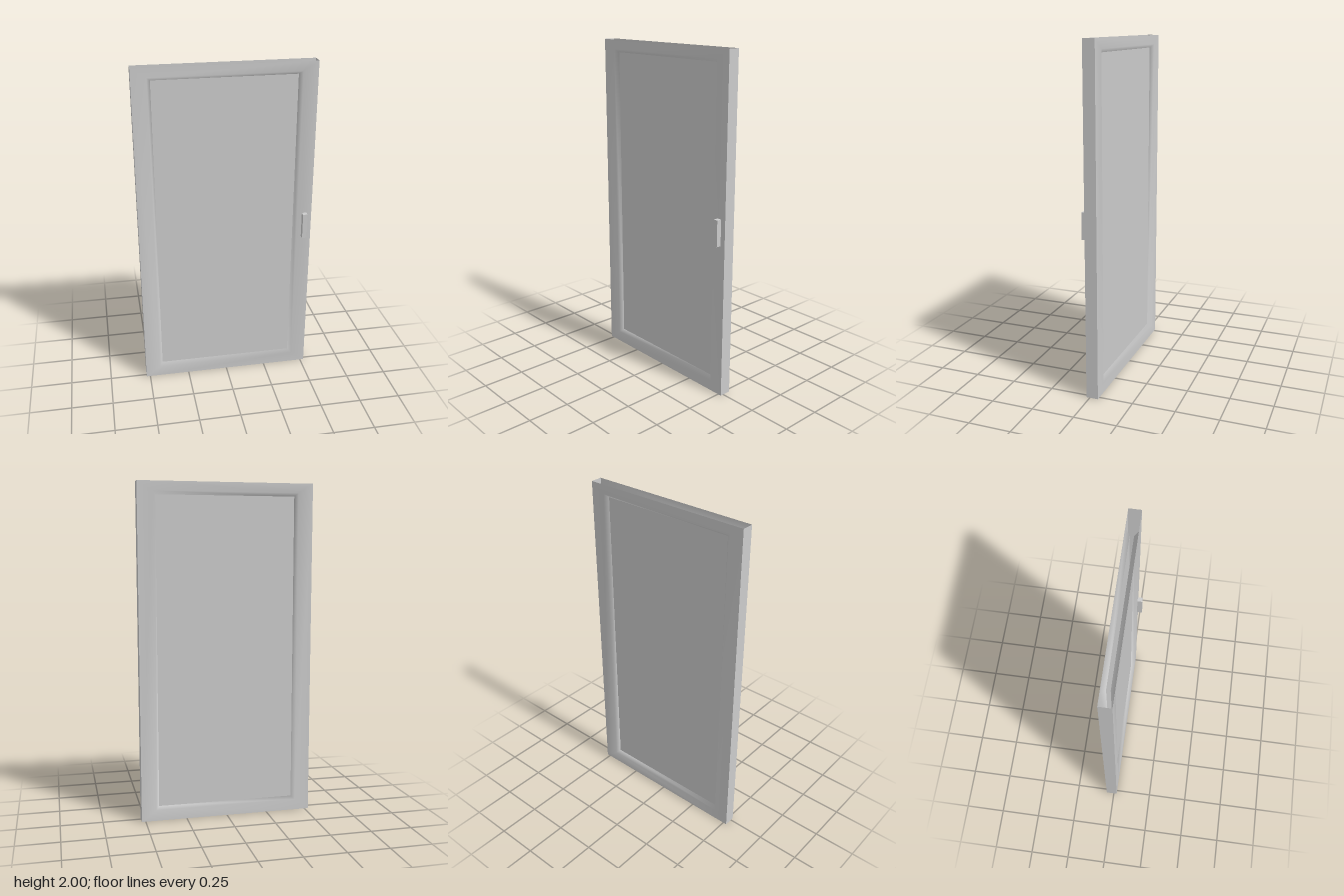
import * as THREE from 'three';

// Frame dimensions
const HALF_W = 0.523, HEIGHT = 2, FRONT = 0.02, BACK = -0.05;
const PANE_FRONT = -0.005, PANE_BACK = -0.027;

const material = new THREE.MeshStandardMaterial({ color: 0xcccccc, side: THREE.DoubleSide });

function addMesh(parent, geometry, name) {
  const mesh = new THREE.Mesh(geometry, material);
  mesh.name = name;
  parent.add(mesh);
  return mesh;
}

// Four corners, counter-clockwise seen from +z
function ring(halfW, bottom, top, z) {
  return [[-halfW, bottom, z], [halfW, bottom, z], [halfW, top, z], [-halfW, top, z]];
}

// Joins successive rings with quads, sharing vertices for soft shading
function ringStrip(rings, flip) {
  const index = [];
  for (let r = 0; r < rings.length - 1; r++) {
    for (let i = 0; i < 4; i++) {
      const a = r * 4 + i, b = r * 4 + (i + 1) % 4, c = b + 4, d = a + 4;
      if (flip) index.push(a, c, b, a, d, c);
      else index.push(a, b, c, a, c, d);
    }
  }
  const geometry = new THREE.BufferGeometry();
  geometry.setAttribute('position', new THREE.Float32BufferAttribute(rings.flat(2), 3));
  geometry.setIndex(index);
  geometry.computeVertexNormals();
  return geometry;
}

export function createModel() {
  const model = new THREE.Group();
  model.name = 'door';

  // Front and back faces of the frame, each sloping in to the pane
  for (const [side, z, paneZ] of [['front', FRONT, PANE_FRONT], ['back', BACK, PANE_BACK]]) {
    const rings = [
      ring(HALF_W, 0, HEIGHT, z),
      ring(0.435, 0.065, 1.945, z),
      ring(0.415, 0.083, 1.925, paneZ),
    ];
    addMesh(model, ringStrip(rings, side === 'back'), side + 'Frame');

    // Flat pane at the bottom of the slope
    const pane = addMesh(model, new THREE.PlaneGeometry(0.83, 1.842), side + 'Pane');
    pane.position.set(0, 1.004, paneZ);
    if (side === 'back') pane.rotation.y = Math.PI;
  }

  // Side walls; the top and bottom edges stay open
  for (const s of [1, -1]) {
    const wall = addMesh(model, new THREE.PlaneGeometry(FRONT - BACK, HEIGHT), s > 0 ? 'leftEdge' : 'rightEdge');
    wall.rotation.y = s * Math.PI / 2;
    wall.position.set(s * HALF_W, HEIGHT / 2, (FRONT + BACK) / 2);
  }

  // Pull handle
  const handle = addMesh(model, new THREE.BoxGeometry(0.028, 0.155, 0.03), 'handle');
  handle.position.set(0.478, 1.003, 0.035);

  return model;
}
